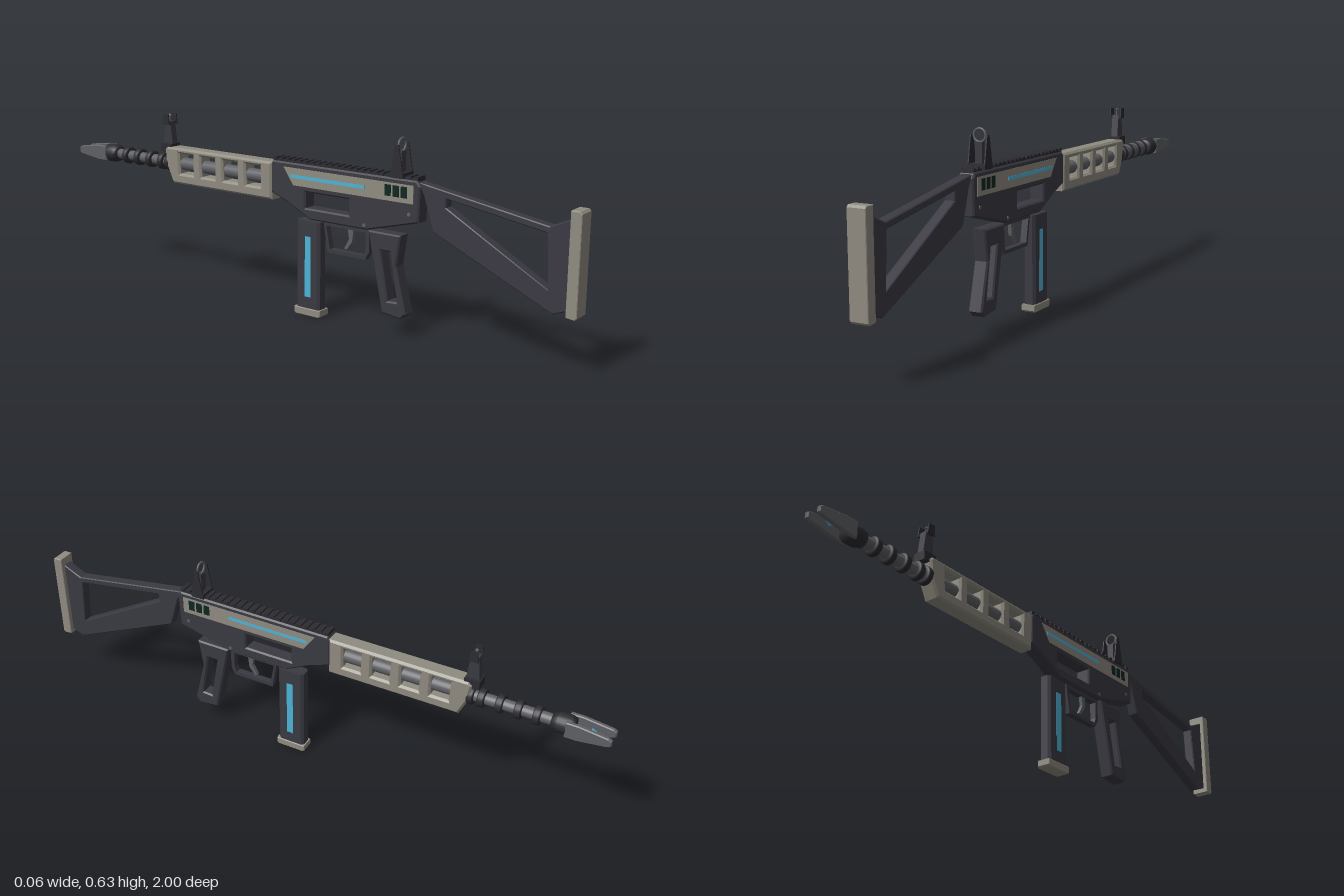
import * as THREE from 'three';

const mat = (name, color) => {
  const m = new THREE.MeshStandardMaterial({ color });
  m.name = name;
  return m;
};

export function createModel() {
  const group = new THREE.Group();
  const dark = mat('dark body', 0x3a3942);
  const black = mat('black metal', 0x2b2b31);
  const tan = mat('warm grey', 0x8f8b80);
  const steel = mat('steel grey', 0x5f6064);
  const cyan = mat('cyan glow', 0x4cb4d8);
  const slotColor = mat('dark green slot', 0x0d2620);

  const add = (name, geo, material, x = 0, y = 0, z = 0) => {
    const m = new THREE.Mesh(geo, material);
    m.name = name;
    m.position.set(x, y, z);
    group.add(m);
    return m;
  };
  const box = (name, w, h, d, material, x, y, z) =>
    add(name, new THREE.BoxGeometry(w, h, d), material, x, y, z);

  // Side outline in [z, y], extruded across x with chamfered edges
  const plate = (name, pts, halfW, material, { holes = [], bevel = 0, x = 0 } = {}) => {
    const v = (list) => list.map(([z, y]) => new THREE.Vector2(z, y));
    const shape = new THREE.Shape(v(pts));
    for (const h of holes) shape.holes.push(new THREE.Path(v(h)));
    const depth = 2 * (halfW - bevel);
    const geo = new THREE.ExtrudeGeometry(shape, {
      depth, bevelEnabled: bevel > 0, bevelSegments: 1,
      bevelSize: bevel, bevelThickness: bevel, bevelOffset: -bevel,
    });
    geo.translate(0, 0, -depth / 2);
    geo.rotateY(-Math.PI / 2);
    return add(name, geo, material, x);
  };
  // Round part along z, profile as [radius, distance forward]
  const turned = (name, profile, material, y, z, sides = 20) => {
    const geo = new THREE.LatheGeometry(profile.map(([r, d]) => new THREE.Vector2(r, d)), sides);
    geo.rotateX(-Math.PI / 2);
    const m = add(name, geo, material, 0, y, z);
    return m;
  };
  const rect = (z0, z1, y0, y1) => [[z0, y0], [z1, y0], [z1, y1], [z0, y1]];

  // Stock and butt plate
  plate('stock', [[0.47, 0.497], [0.49, 0.495], [0.9, 0.428], [0.965, 0.458], [0.965, 0.193],
    [0.92, 0.176], [0.524, 0.353], [0.49, 0.46]], 0.018, dark, {
    bevel: 0.003, holes: [[[0.893, 0.408], [0.567, 0.46], [0.567, 0.433], [0.903, 0.246]]],
  });
  plate('buttPlate', [[0.966, 0.178], [0.994, 0.175], [1, 0.182], [1, 0.478], [0.994, 0.485], [0.966, 0.485]],
    0.03, tan, { bevel: 0.002 });

  // Receiver with an open window
  plate('receiver', [[0.482, 0.485], [0.47, 0.502], [-0.08, 0.502], [-0.088, 0.49], [-0.088, 0.395],
    [-0.02, 0.37], [0.07, 0.325], [0.29, 0.325], [0.478, 0.374]], 0.026, dark,
  { bevel: 0.005, holes: [rect(0.222, 0.052, 0.361, 0.413)] });

  // Top rail and its teeth
  box('rail', 0.04, 0.012, 0.55, black, 0, 0.502, 0.197);
  for (let i = 0; i < 23; i++)
    box('railTooth', 0.042, 0.011, 0.013, black, 0, 0.508, 0.465 - i * 0.0245);

  // Painted side panels, slots, stripes and pins
  for (const s of [1, -1]) {
    plate('sidePanel', [[0.46, 0.487], [-0.035, 0.487], [0.005, 0.43], [0.46, 0.43]], 0.001, tan, { x: s * 0.0265 });
    plate('sideStripe', rect(0.283, -0.005, 0.454, 0.465), 0.001, cyan, { x: s * 0.0275 });
    for (let i = 0; i < 3; i++)
      plate('sideSlot', rect(0.438 - i * 0.029, 0.416 - i * 0.029, 0.445, 0.48), 0.001, slotColor, { x: s * 0.0275 });
    for (const [z, y] of [[0.445, 0.397], [0.283, 0.34]]) {
      const pin = add('pin', new THREE.CylinderGeometry(0.006, 0.006, 0.003, 10), steel, s * 0.0265, y, z);
      pin.rotation.z = Math.PI / 2;
    }
  }

  // Grip with its cut-out
  plate('grip', [[0.415, 0.325], [0.295, 0.325], [0.35, 0.068], [0.42, 0.06], [0.438, 0.078], [0.4, 0.225]],
    0.024, dark, { bevel: 0.005, holes: [[[0.377, 0.268], [0.342, 0.268], [0.371, 0.11], [0.404, 0.112]]] });

  // Trigger guard and trigger
  plate('triggerGuard', [[0.292, 0.325], [0.115, 0.325], [0.132, 0.224], [0.278, 0.224], [0.292, 0.25]], 0.011, dark,
    { holes: [[[0.279, 0.312], [0.126, 0.312], [0.141, 0.236], [0.272, 0.236], [0.279, 0.255]]] });
  plate('trigger', [[0.23, 0.325], [0.205, 0.325], [0.212, 0.28], [0.194, 0.247], [0.202, 0.243], [0.224, 0.272]],
    0.006, steel);

  // Magazine: chamfered column, base and light strips
  const outline = [[0.021, 0.038], [0.013, 0.047]];
  const corners = [...outline, ...outline.slice().reverse().map(([x, z]) => [-x, z]),
    ...outline.map(([x, z]) => [-x, -z]), ...outline.slice().reverse().map(([x, z]) => [x, -z])];
  const magGeo = new THREE.ExtrudeGeometry(new THREE.Shape(corners.map(([x, z]) => new THREE.Vector2(x, z))),
    { depth: 0.296, bevelEnabled: false });
  magGeo.rotateX(-Math.PI / 2);
  add('magazine', magGeo, dark, 0, 0.022, 0.058);
  plate('magazineBase', [[0.111, 0.006], [0.105, 0], [0.012, 0], [0.006, 0.006], [0.006, 0.025], [0.111, 0.025]],
    0.024, tan, { bevel: 0.002 });
  for (const s of [1, -1])
    plate('magazineStripe', rect(0.072, 0.049, 0.064, 0.267), 0.001, cyan, { x: s * 0.0215 });

  // Handguard with four windows a side
  const windows = [0, 1, 2, 3].map((i) => {
    const z = -0.135 - i * 0.1;
    return [[z, 0.476], [z - 0.064, 0.476], [z - 0.06, 0.406], [z, 0.406]];
  });
  plate('handguard', [[-0.085, 0.495], [-0.555, 0.495], [-0.567, 0.485], [-0.557, 0.425], [-0.53, 0.369], [-0.085, 0.369]],
    0.028, tan, { bevel: 0.007, holes: windows });

  // Barrel, rings and muzzle hub
  const axis = 0.437;
  turned('barrel', [[0, 0], [0.022, 0], [0.022, 0.47], [0.018, 0.475], [0.018, 0.78], [0, 0.78]], steel, axis, -0.07);
  for (const z of [-0.56, -0.595, -0.653, -0.712, -0.77])
    turned('barrelRing', [[0.017, -0.011], [0.027, -0.011], [0.03, -0.007], [0.03, 0.007], [0.027, 0.011], [0.017, 0.011]],
      black, axis, z);
  turned('muzzleHub', [[0, 0], [0.026, 0], [0.026, 0.012], [0.032, 0.018], [0.032, 0.055], [0.026, 0.07], [0, 0.07]],
    black, axis, -0.815);

  // Forked muzzle with a glowing tip between the prongs
  for (const s of [1, -1])
    plate('muzzleProng', [[-0.86, 0.464], [-0.9, 0.464], [-0.99, 0.452], [-1, 0.446], [-1, 0.428],
      [-0.99, 0.422], [-0.9, 0.41], [-0.86, 0.41]], 0.0075, steel, { x: s * 0.0245, bevel: 0.003 });
  const tip = add('glowTip', new THREE.ConeGeometry(0.012, 0.022, 8), cyan, 0, axis, -0.943);
  tip.rotation.x = -Math.PI / 2;

  // Rear sight: foot, tapered ears and aiming ring
  box('rearSightFoot', 0.06, 0.016, 0.045, black, 0, 0.511, 0.4);
  box('rearSightPost', 0.024, 0.066, 0.014, dark, 0, 0.55, 0.4);
  for (const s of [1, -1])
    plate('rearSightEar', [[0.422, 0.512], [0.406, 0.604], [0.394, 0.604], [0.378, 0.512]], 0.002, black, { x: s * 0.028 });
  add('rearSightRing', new THREE.TorusGeometry(0.02, 0.0035, 8, 28), steel, 0, 0.602, 0.4);

  // Front sight: tower, fork and pin
  box('frontSightFoot', 0.044, 0.03, 0.05, black, 0, 0.49, -0.563);
  plate('frontSightTower', [[-0.538, 0.485], [-0.586, 0.485], [-0.575, 0.582], [-0.55, 0.582]], 0.012, dark);
  box('frontSightBridge', 0.042, 0.008, 0.024, black, 0, 0.576, -0.562);
  for (const s of [1, -1])
    plate('frontSightEar', [[-0.547, 0.57], [-0.578, 0.57], [-0.573, 0.606], [-0.55, 0.606]], 0.002, black, { x: s * 0.02 });
  box('frontSightPin', 0.004, 0.02, 0.004, steel, 0, 0.587, -0.562);
  add('frontSightBead', new THREE.OctahedronGeometry(0.007), steel, 0, 0.601, -0.562);

  return group;
}
